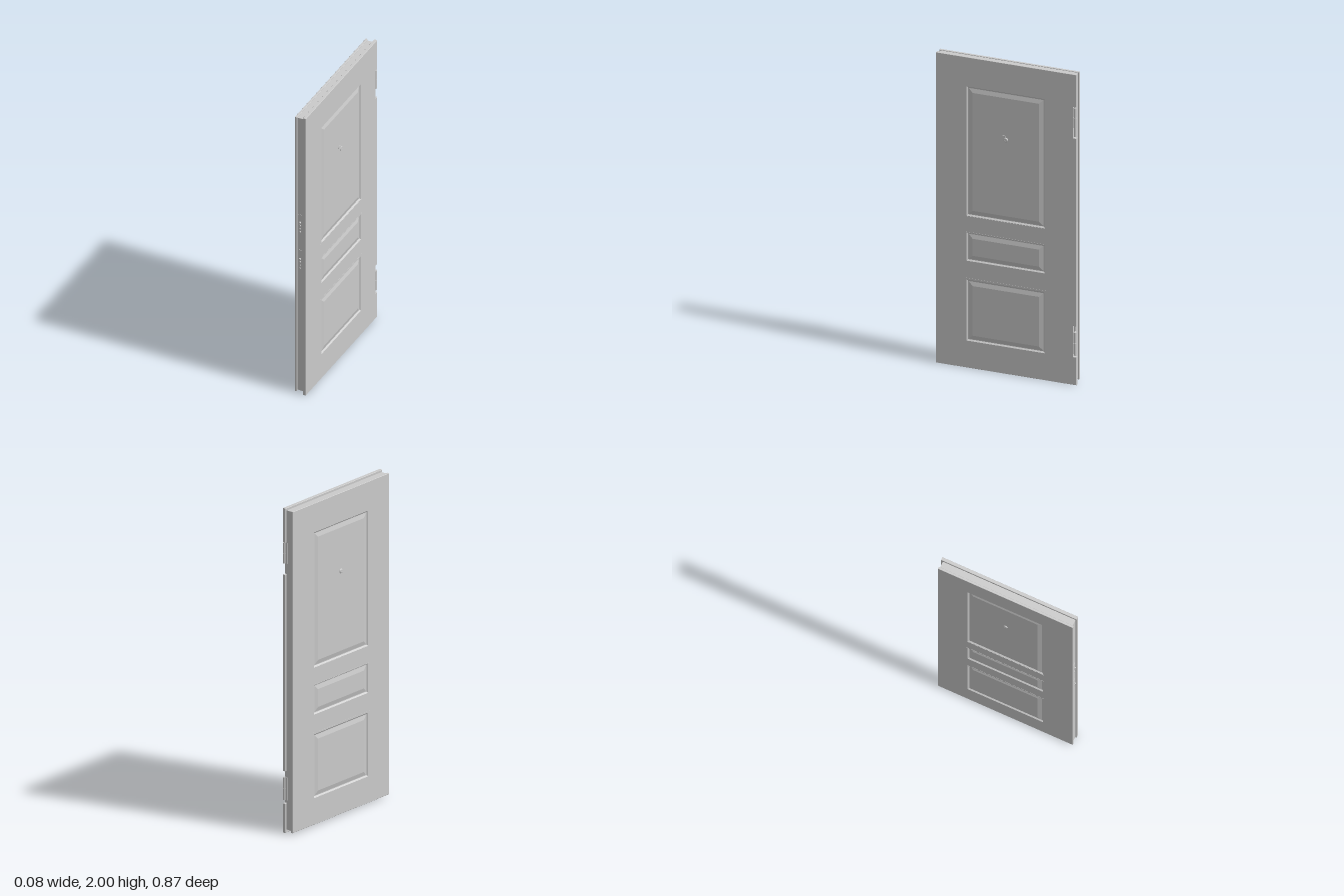
import * as THREE from 'three';

const material = new THREE.MeshStandardMaterial({ color: 0xcccccc });

function add(parent, name, geometry, x = 0, y = 0, z = 0) {
  const mesh = new THREE.Mesh(geometry, material);
  mesh.name = name;
  mesh.position.set(x, y, z);
  parent.add(mesh);
  return mesh;
}

const rect = (l, r, b, t) => [[l, b], [r, b], [r, t], [l, t]];
const toVectors = (pts) => pts.map(([x, y]) => new THREE.Vector2(x, y));

// Panels as [half width, bottom, top]
const PANELS = [[0.24, 0.98, 1.81], [0.24, 0.69, 0.87], [0.24, 0.175, 0.565]];
// Panel moulding as [inset, depth below the face]
const MOULDING = [[0, 0.002], [0.006, 0.008], [0.01, 0.008], [0.035, 0.002]];
const HINGES = [
  { notch: [1.59, 1.79], barrel: [1.657, 1.787] },
  { notch: [0.18, 0.38], barrel: [0.2, 0.34] },
];

// Moulded raised panel made of nested rectangles, facing +z
function panelGeometry([w, b, t], face) {
  const rings = MOULDING.map(([i, d]) =>
    rect(-w + i, w - i, b + i, t - i).map(([x, y]) => [x, y, face - d]));
  const pos = [];
  const quad = (p, q, r, s) => pos.push(...p, ...q, ...r, ...p, ...r, ...s);
  for (let k = 0; k < rings.length - 1; k++) {
    for (let i = 0; i < 4; i++) {
      const j = (i + 1) % 4;
      quad(rings[k][i], rings[k][j], rings[k + 1][j], rings[k + 1][i]);
    }
  }
  quad(...rings[rings.length - 1]);
  const g = new THREE.BufferGeometry();
  g.setAttribute('position', new THREE.Float32BufferAttribute(pos, 3));
  g.computeVertexNormals();
  return g;
}

// Face plate with panel openings, built facing +z
function facePlate(name, outline, inner, outer) {
  const group = new THREE.Group();
  group.name = name;
  const shape = new THREE.Shape(toVectors(outline));
  for (const [w, b, t] of PANELS) {
    shape.holes.push(new THREE.Path(toVectors(rect(-w, w, b, t).reverse())));
  }
  const bevel = 0.0015;
  add(group, 'facePlate', new THREE.ExtrudeGeometry(shape, {
    depth: outer - inner - 2 * bevel, bevelThickness: bevel, bevelSize: bevel,
    bevelOffset: -bevel, bevelSegments: 1,
  }), 0, 0, inner + bevel);
  PANELS.forEach((p) => add(group, 'raisedPanel', panelGeometry(p, outer)));
  // Thin beads beside the rails
  for (const y of [0.974, 0.873, 0.576]) {
    add(group, 'railBead', new THREE.BoxGeometry(0.5, 0.005, 0.002), 0, y, outer);
  }
  return group;
}

// Peephole: flange, domed rim and lens, facing +z
function peephole(parent, face) {
  const profile = toVectors([[0.014, 0], [0.014, 0.002], [0.011, 0.005], [0.007, 0.006], [0.006, 0.004], [0, 0.005]]);
  add(parent, 'peephole', new THREE.LatheGeometry(profile, 24), 0, 1.507, face - 0.002).rotation.x = Math.PI / 2;
}

export function createModel() {
  const door = new THREE.Group();
  door.name = 'door';

  // Core between the two plates
  add(door, 'core', new THREE.BoxGeometry(0.042, 1.967, 0.848), -0.004, 1.0025, -0.001);

  // Outer plate on +x, notched for the hinges on its -z edge
  const edge = [[-0.43, 0], [0.437, 0]];
  for (const { notch: [b, t] } of [...HINGES].reverse()) {
    edge.push([0.437, b], [0.416, b], [0.416, t], [0.437, t]);
  }
  edge.push([0.437, 2], [-0.43, 2]);
  const outside = facePlate('outerFace', edge, 0.016, 0.036);
  outside.rotation.y = Math.PI / 2;
  peephole(outside, 0.036);
  // Swivel cover of the peephole
  add(outside, 'peepholeCover', new THREE.CylinderGeometry(0.014, 0.014, 0.003, 24), -0.013, 1.522, 0.0355)
    .rotation.x = Math.PI / 2;
  door.add(outside);

  // Inner plate on -x
  const inside = facePlate('innerFace', rect(-0.432, 0.43, 0.01, 1.99), 0.023, 0.037);
  inside.rotation.y = -Math.PI / 2;
  peephole(inside, 0.037);
  door.add(inside);

  // Hinges: two knuckles and a leaf
  for (const { barrel: [b, t] } of HINGES) {
    const hinge = new THREE.Group();
    hinge.name = 'hinge';
    const half = (t - b) / 2;
    for (const i of [0.5, 1.5]) {
      add(hinge, 'knuckle', new THREE.CylinderGeometry(0.009, 0.009, half - 0.002, 20), 0.031, b + half * i, -0.428);
    }
    add(hinge, 'pin', new THREE.CylinderGeometry(0.006, 0.006, t - b, 16), 0.031, (b + t) / 2, -0.428);
    add(hinge, 'leaf', new THREE.BoxGeometry(0.02, t - b, 0.004), 0.021, (b + t) / 2, -0.424);
    door.add(hinge);
  }

  // Locks on the +z edge: face plate, round bolts and a longer top bolt
  for (const [bottom, top, firstBolt] of [[1.1, 1.29, 1.235], [0.835, 1.035, 0.972]]) {
    const lock = new THREE.Group();
    lock.name = 'lock';
    add(lock, 'lockPlate', new THREE.BoxGeometry(0.022, top - bottom, 0.003), -0.004, (top + bottom) / 2, 0.4235);
    for (let i = 0; i < 4; i++) {
      const length = i === 0 ? 0.012 : 0.007;
      add(lock, 'bolt', new THREE.CylinderGeometry(0.006, 0.006, length, 16), -0.004, firstBolt - i * 0.023, 0.422 + length / 2)
        .rotation.x = Math.PI / 2;
    }
    door.add(lock);
  }
  return door;
}
